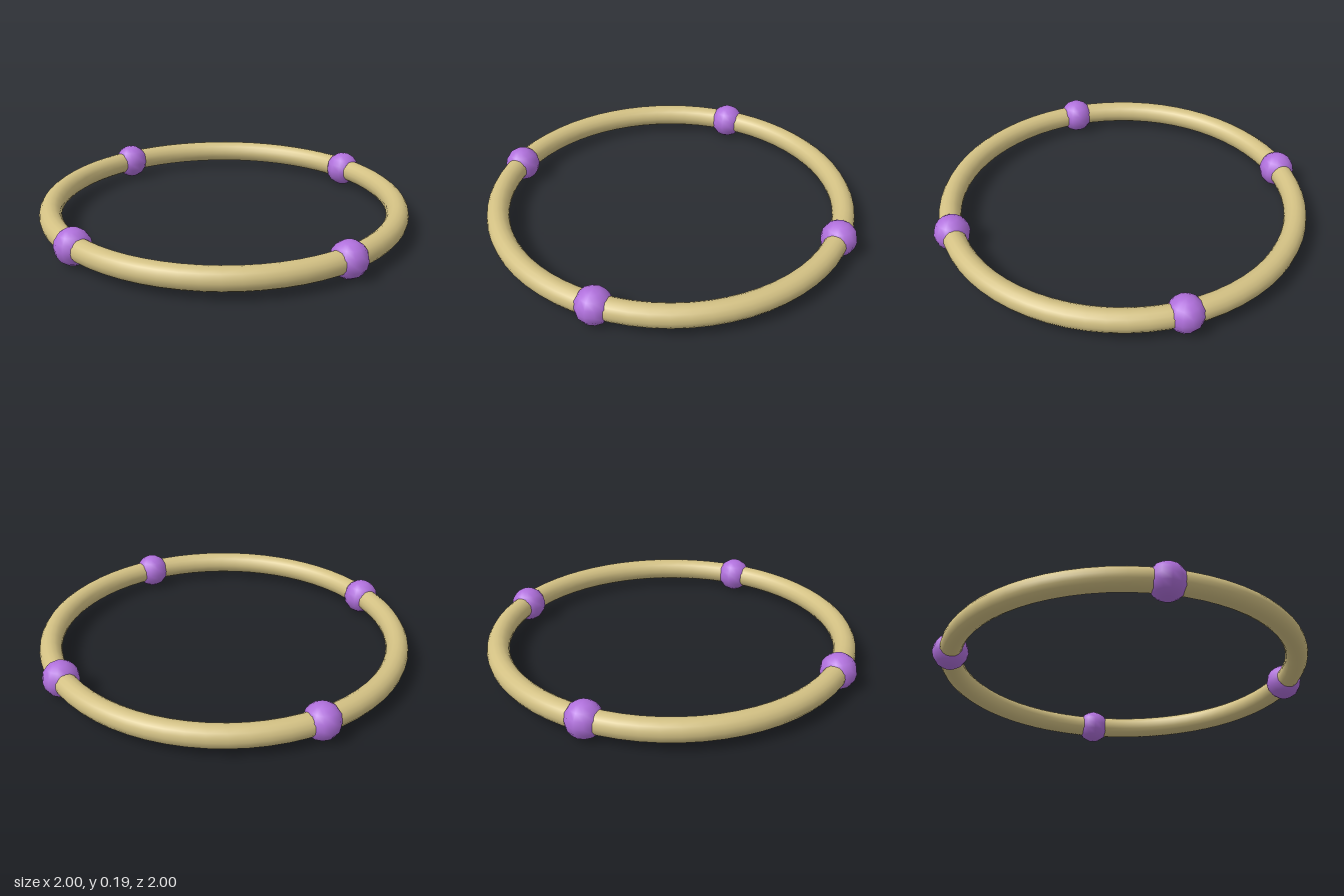
import * as THREE from 'three';

const RING_RADIUS = 0.907;
const TUBE_RADIUS = 0.058;
const BEAD_RADIUS = 0.093;

export function createModel() {
  const model = new THREE.Group();
  model.name = 'beadedRing';

  const tan = new THREE.MeshStandardMaterial({ color: 0xd2c083 });
  tan.name = 'tan';
  const purple = new THREE.MeshStandardMaterial({ color: 0xb070dc });
  purple.name = 'purple';

  // Ring lying flat, at the height of the bead centres
  const ring = new THREE.Mesh(new THREE.TorusGeometry(RING_RADIUS, TUBE_RADIUS, 16, 64), tan);
  ring.name = 'ring';
  ring.rotation.x = -Math.PI / 2;
  ring.position.y = BEAD_RADIUS;
  model.add(ring);

  // Four beads threaded on the ring, a quarter turn apart
  const beadGeometry = new THREE.SphereGeometry(BEAD_RADIUS, 12, 8);
  ['left', 'front', 'right', 'back'].forEach((side, i) => {
    const angle = (i * Math.PI) / 2;
    const bead = new THREE.Mesh(beadGeometry, purple);
    bead.name = `${side}Bead`;
    bead.position.set(Math.cos(angle) * RING_RADIUS, BEAD_RADIUS, Math.sin(angle) * RING_RADIUS);
    bead.rotation.y = -angle;
    model.add(bead);
  });

  return model;
}
